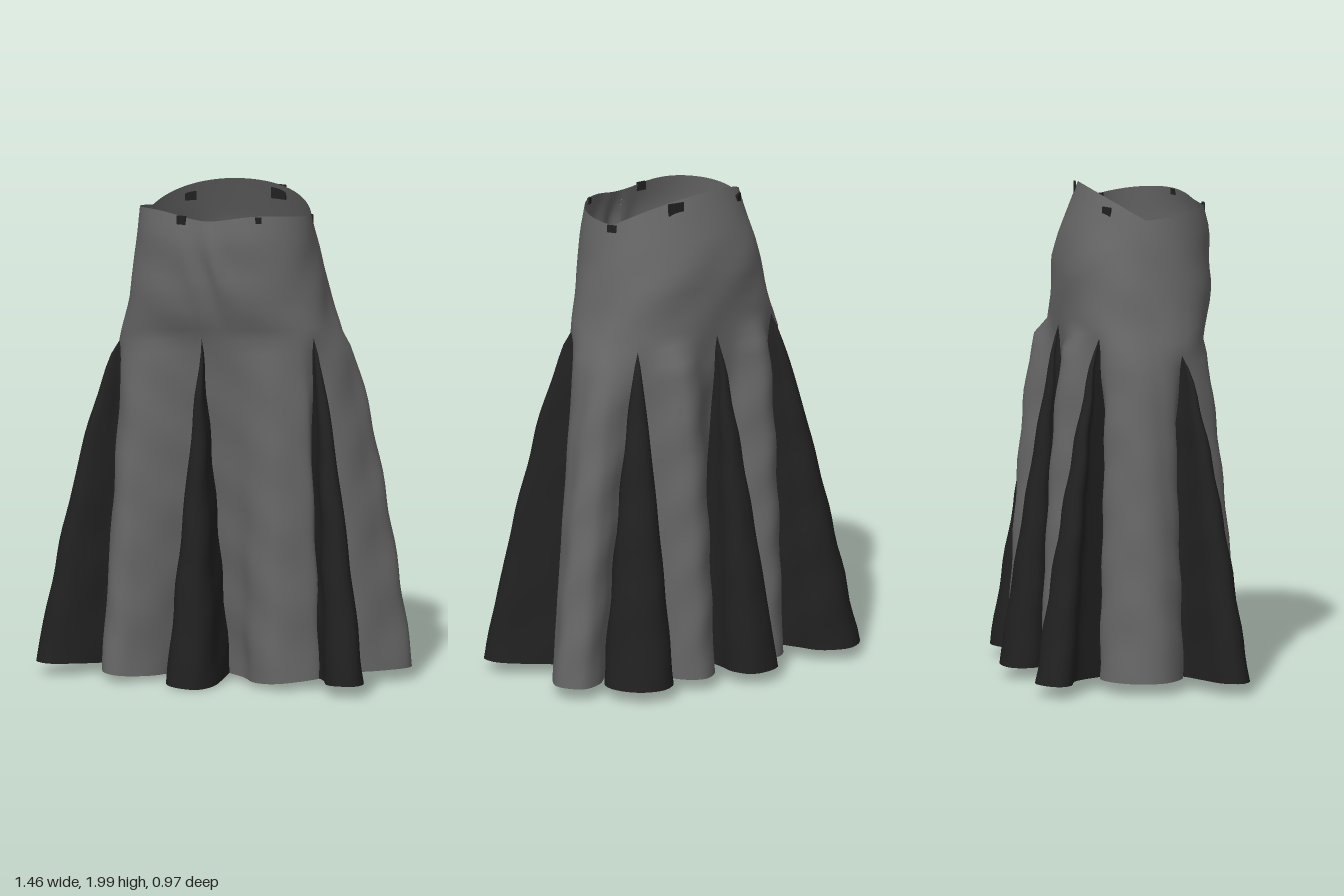
import * as THREE from 'three';
import { mergeGeometries, mergeVertices } from 'three/addons/utils/BufferGeometryUtils.js';

// Points where the gores begin: angle from the front towards +x, height, and flare exponent of the seams
const APEX = [
  [-0.025, 1.42, 0.95], [1.07, 1.43, 0.75], [2.25, 1.41, 0.75], [3.13, 1.43, 0.8],
  [3.92, 1.43, 0.75], [5.04, 1.36, 0.75], [6.258, 1.42, 0.95],
];

// Six cloth panels, walking from the front towards +x: flare exponent and hem outline (x, z).
// Both edges of each panel fold inward to the seams.
const PANELS = [
  [0.72, [[0.045, 0.175], [0.12, 0.23], [0.2, 0.33], [0.3, 0.37], [0.4, 0.32], [0.46, 0.245], [0.38, 0.17]]],
  [0.65, [[0.42, 0.07], [0.5, 0.135], [0.58, 0.115], [0.66, 0.04], [0.73, -0.07], [0.68, -0.16], [0.59, -0.15], [0.5, -0.09]]],
  [0.36, [[0.32, -0.1], [0.32, -0.24], [0.29, -0.34], [0.23, -0.385], [0.15, -0.36], [0.085, -0.28], [0.05, -0.15]]],
  [0.36, [[-0.08, -0.15], [-0.09, -0.3], [-0.18, -0.365], [-0.26, -0.33], [-0.3, -0.22], [-0.27, -0.12]]],
  [0.7, [[-0.37, -0.1], [-0.43, -0.19], [-0.53, -0.18], [-0.63, -0.08], [-0.64, 0.02], [-0.58, 0.1], [-0.49, 0.14], [-0.39, 0.08]]],
  [0.72, [[-0.37, 0.16], [-0.45, 0.23], [-0.45, 0.32], [-0.41, 0.4], [-0.35, 0.42], [-0.27, 0.37], [-0.21, 0.3], [-0.16, 0.2]]],
];

// Gores, each following the panel of the same index
const GORES = [
  [0.75, [[0.49, 0.31], [0.55, 0.42], [0.61, 0.455], [0.68, 0.43], [0.685, 0.36], [0.61, 0.26], [0.525, 0.17]]],
  [0.82, [[0.58, -0.18], [0.585, -0.26], [0.54, -0.35], [0.45, -0.39], [0.36, -0.35], [0.335, -0.25]]],
  [0.88, [[0.055, -0.29], [0.075, -0.39], [0.04, -0.47], [-0.03, -0.487], [-0.11, -0.46], [-0.13, -0.38], [-0.085, -0.31]]],
  [0.8, [[-0.315, -0.23], [-0.345, -0.32], [-0.38, -0.42], [-0.5, -0.475], [-0.6, -0.41], [-0.58, -0.35], [-0.49, -0.31], [-0.42, -0.2]]],
  [0.72, [[-0.5, 0.155], [-0.6, 0.195], [-0.71, 0.25], [-0.735, 0.32], [-0.66, 0.37], [-0.56, 0.32], [-0.46, 0.225]]],
  [0.95, [[-0.145, 0.3], [-0.14, 0.42], [-0.09, 0.48], [0.01, 0.475], [0.05, 0.41], [0.05, 0.3]]],
];

// Hip rings from the gore tops to the waist: half width, front z, back z, roundness
const RINGS = [
  [0.455, 0.322, -0.237, 0.8], [0.42, 0.355, -0.235, 0.83], [0.4, 0.37, -0.235, 0.86],
  [0.38, 0.368, -0.21, 0.9], [0.367, 0.368, -0.17, 0.93], [0.355, 0.345, -0.132, 0.96],
];
const ROWS = 24, HIP_ROWS = 12;
const { lerp } = THREE.MathUtils;

const spow = (v, p) => Math.sign(v) * Math.abs(v) ** p;

// Point on the hips: h runs from 0 at the gore tops to 1 at the waist
function hipPoint(angle, h, baseY) {
  const k = Math.min(h * 5, 4.9999), i = Math.floor(k);
  const [w, f, b, p] = RINGS[i].map((v, n) => lerp(v, RINGS[i + 1][n], k - i));
  const x = w * spow(Math.sin(angle), p);
  let z = (f + b) / 2 + (f - b) / 2 * spow(Math.cos(angle), p);
  // The waist rises to the back and dips at the front centre
  const top = z < 0.03 ? 1.9 + 0.1 * (0.03 - z) / 0.162
    : 1.9 + 0.13 * (z - 0.03) - 0.035 * Math.exp(-((x / 0.15) ** 2)) * Math.min(1, (z - 0.03) * 5);
  const y = baseY + (top - baseY) * h;
  // Soft folds around the fly
  if (z > 0.2) z += 0.014 * Math.exp(-((x - 0.02) ** 2) * 130 - ((y - 1.7) ** 2) * 50) * Math.sin(x * 45 + y * 14);
  return new THREE.Vector3(x, y, z);
}

// Small cloth ripples that depend on position only, so seams stay closed
function ripple(p) {
  const a = 0.003 * Math.min(1, Math.max(0, 1.9 - p.y) * 5);
  p.x += a * Math.sin(p.y * 19 + p.z * 23);
  p.z += a * Math.sin(p.y * 23 + p.x * 17);
  return p;
}

// Column from the hips to the hem, flaring quickly at first
function skirtColumn(start, hem, exponent) {
  return Array.from({ length: ROWS + 1 }, (_, j) => {
    const t = j / ROWS, p = new THREE.Vector3().lerpVectors(start, hem, t ** exponent);
    p.y = lerp(start.y, hem.y, t);
    return ripple(p);
  });
}

function hemCurve(points, count) {
  const v = points.map(([x, z]) => {
    const away = Math.min(1, Math.hypot(x, z - 0.45) / 0.6);
    return new THREE.Vector3(x, 0.012 + 0.05 * away, z);
  });
  return new THREE.CatmullRomCurve3(v).getSpacedPoints(count);
}

// Grid of columns, each listed from top to bottom, as a surface facing outward
function loft(columns) {
  const rows = columns[0].length, pos = [], index = [];
  columns.forEach(c => c.forEach(p => pos.push(p.x, p.y, p.z)));
  for (let i = 0; i < columns.length - 1; i++) {
    for (let j = 0; j < rows - 1; j++) {
      const a = i * rows + j, b = a + rows;
      index.push(a, a + 1, b, b, a + 1, b + 1);
    }
  }
  const g = new THREE.BufferGeometry();
  g.setAttribute('position', new THREE.Float32BufferAttribute(pos, 3));
  g.setIndex(index);
  return g;
}

function panelGeometry([flare, outline], i) {
  const n = 36;
  return loft(hemCurve(outline, n).map((hem, c) => {
    const s = c / n;
    const [angle, baseY, seam] = APEX[i].map((v, k) => lerp(v, APEX[i + 1][k], s));
    const column = [];
    for (let j = HIP_ROWS; j > 0; j--) column.push(ripple(hipPoint(angle, j / HIP_ROWS, baseY)));
    return column.concat(skirtColumn(hipPoint(angle, 0, baseY), hem, lerp(seam, flare, Math.sin(Math.PI * s))));
  }));
}

function goreGeometry([flare, outline], i) {
  const n = 32, [angle, y, seam] = APEX[i + 1];
  const points = [PANELS[i][1].at(-1), ...outline, PANELS[(i + 1) % 6][1][0]];
  const start = hipPoint(angle, 0, y);
  return loft(hemCurve(points, n).map((hem, c) =>
    skirtColumn(start, hem, lerp(seam, flare, Math.sin(Math.PI * c / n)))));
}

export function createModel() {
  const cloth = new THREE.MeshStandardMaterial({ color: 0x666666, side: THREE.DoubleSide });
  const dark = new THREE.MeshStandardMaterial({ color: 0x212121, side: THREE.DoubleSide });
  cloth.name = 'grey cloth';
  dark.name = 'black cloth';
  const model = new THREE.Group();
  model.name = 'skirt';
  const add = (geometry, material, name) => {
    geometry.computeVertexNormals();
    const mesh = new THREE.Mesh(geometry, material);
    mesh.name = name;
    model.add(mesh);
    return mesh;
  };

  // Hips and panels in one piece, with the gores set between them
  add(mergeVertices(mergeGeometries(PANELS.map(panelGeometry)), 1e-4), cloth, 'hipsAndPanels');
  GORES.forEach((gore, i) => add(goreGeometry(gore, i), dark, 'gore' + (i + 1)));

  // Belt tabs around the waist: angle, height on the hips, width, height
  const tabs = [
    [-0.28, 0.97, 0.04, 0.035], [0.62, 0.97, 0.025, 0.025], [1.86, 0.97, 0.04, 0.03],
    [2.76, 0.93, 0.07, 0.06], [3.8, 0.9, 0.045, 0.04],
  ];
  for (const [angle, level, w, h] of tabs) {
    const p = hipPoint(angle, level, 1.4), q = hipPoint(angle + 0.04, level, 1.4);
    const tab = add(new THREE.BoxGeometry(w, h, 0.009), dark, 'beltTab');
    tab.position.copy(p);
    tab.rotation.y = Math.atan2(-(q.z - p.z), q.x - p.x);
  }
  return model;
}
